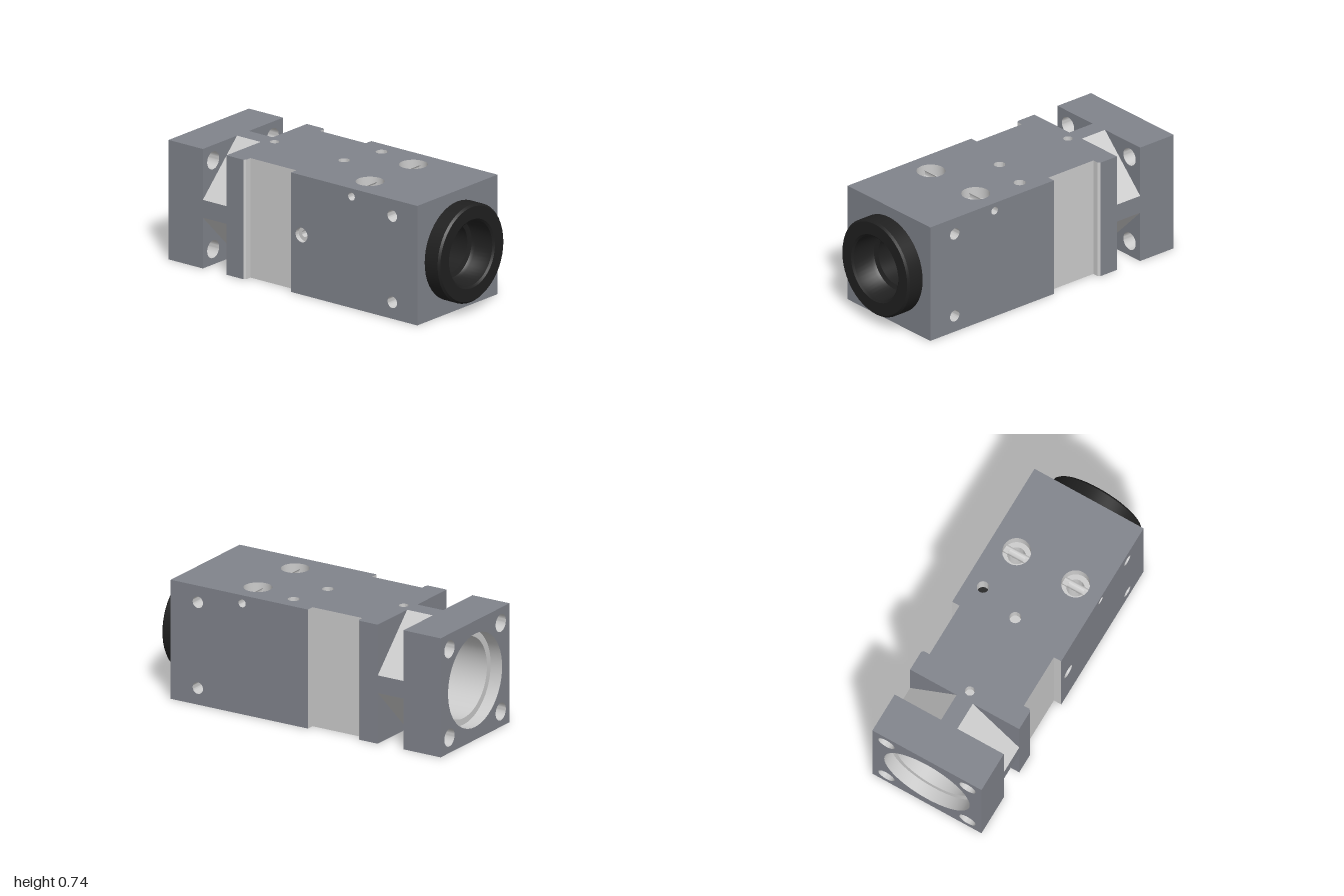
import * as THREE from 'three';
import { toCreasedNormals } from 'three/addons/utils/BufferGeometryUtils.js';

const body = new THREE.MeshStandardMaterial({ color: 0x80838b });
const bare = new THREE.MeshStandardMaterial({ color: 0xcccccc });
const black = new THREE.MeshStandardMaterial({ color: 0x202020 });

const H = 0.37;        // half of the square section
const F = 0.055;       // half width of the neck's flats
const X = { left: -1, neckA: -0.74, neckB: -0.56, slotA: -0.42, slotB: -0.07, right: 0.89 };
const SLOT = 0.32;     // half depth between the side slots

export function createModel() {
  const model = new THREE.Group();
  model.name = 'squareHousing';
  const core = new THREE.Group();
  core.name = 'housing';
  core.position.y = H;
  model.add(core);

  function add(parent, name, geometry, material) {
    const mesh = new THREE.Mesh(geometry, material);
    mesh.name = name;
    parent.add(mesh);
    return mesh;
  }

  function frame(name, rx, ry) {
    const g = new THREE.Group();
    g.name = name;
    g.rotation.set(rx, ry, 0);
    core.add(g);
    return g;
  }

  // Flat face at height d, pierced by round holes; each hole is [u, v, steps, floorMaterial]
  function panel(parent, name, points, d, holes = [], material = body) {
    const shape = new THREE.Shape(points.map(([x, y]) => new THREE.Vector2(x, y)));
    for (const [u, v, steps, floor] of holes) {
      const path = new THREE.Path();
      path.absarc(u, v, steps[0][0], 0, Math.PI * 2, true);
      shape.holes.push(path);
      if (steps[0].length > 1) hole(parent, name + 'Hole', u, v, d, steps, floor);
    }
    const mesh = add(parent, name, new THREE.ShapeGeometry(shape, 24), material);
    mesh.position.z = d;
    return mesh;
  }

  function lathe(points) {
    const g = new THREE.LatheGeometry(points.map(([r, y]) => new THREE.Vector2(r, y)), 48);
    return toCreasedNormals(g.rotateX(Math.PI / 2), 0.5);
  }

  // Stepped hole lining, steps are [radius, depth]; a floor material makes it blind
  function hole(parent, name, u, v, d, steps, floor) {
    const points = [];
    let y = 0;
    for (const [r, depth] of steps) {
      points.push([r, y], [r, -depth]);
      y = -depth;
    }
    add(parent, name, lathe(points), bare).position.set(u, v, d);
    if (floor) {
      const disc = new THREE.CircleGeometry(steps[steps.length - 1][0], 48);
      add(parent, name + 'Floor', disc, floor).position.set(u, v, d + y);
    }
  }

  const rect = (x0, x1, h) => [[x0, -h], [x1, -h], [x1, h], [x0, h]];

  // Full-height strip between two points of the side profile
  function strip(parent, name, [x0, d0], [x1, d1], material) {
    const g = new THREE.PlaneGeometry(Math.hypot(x1 - x0, d1 - d0), 2 * H);
    const m = add(parent, name, g, material);
    m.rotation.y = Math.atan2(d0 - d1, x1 - x0);
    m.position.set((x0 + x1) / 2, 0, (d0 + d1) / 2);
  }

  const sides = ['front', 'top', 'back', 'bottom'].map((n, k) => frame(n + 'Side', -k * Math.PI / 2, 0));
  const [front, top, back, bottom] = sides;

  // Flange sides, neck flats and the four sloping corner cuts
  const midX = (X.neckA + X.neckB) / 2;
  const corner = [[F, H], [H, H], [H, F]];
  const bolt = [[0.055, X.neckA - X.left]];
  for (const s of sides) {
    panel(s, 'flangeSide', rect(X.left, X.neckA, H), H);
    panel(s, 'neckFlat', rect(X.neckA, X.neckB, F), H);
    const slope = add(s, 'neckSlope', new THREE.PlaneGeometry(X.neckB - X.neckA, (H - F) * Math.SQRT2), bare);
    slope.rotation.x = -Math.PI / 4;
    slope.position.set(midX, (H + F) / 2, (H + F) / 2);
    const a = panel(s, 'flangeInnerFace', corner, 0, [[0.275, 0.275, [[0.055]]]]);
    a.rotation.y = Math.PI / 2;
    a.position.x = X.neckA;
    const b = panel(s, 'bodyShoulder', corner, 0);
    b.rotation.y = -Math.PI / 2;
    b.position.x = X.neckB;
  }

  // Front and back: short land, shallow bare slot, long side face
  const profile = [[X.neckB, H], [X.slotA - 0.012, H], [X.slotA, H - 0.012], [X.slotA, SLOT], [X.slotB, SLOT], [X.slotB, H]];
  for (const s of [front, back]) {
    for (let i = 0; i < profile.length - 1; i++) {
      strip(s, i ? 'sideSlot' : 'sideLand', profile[i], profile[i + 1], i ? bare : body);
    }
    const f = s === front ? 1 : -1;
    const holes = [
      [0.70, 0.267, [[0.036, 0.1]], black],
      [0.70, -0.267, [[0.036, 0.1]], black],
      [0.39, 0.32 * f, [[0.025, H]]],
    ];
    if (f > 0) holes.push([0.01, 0, [[0.045, 0.03], [0.021, 0.09]], black]);
    panel(s, 'sideFace', rect(X.slotB, X.right, H), H, holes);
  }

  // Top and bottom: one outline notched by the side slots
  const upper = profile.concat([[X.right, H]]);
  const outline = upper.concat(upper.map(([x, d]) => [x, -d]).reverse());
  panel(top, 'topFace', outline, H, [
    [-0.5, 0, [[0.029, 0.05]], bare],
    [0.03, 0, [[0.035, 0.06]], bare],
    [0.10, 0.26, [[0.036, 0.1]], black],
    [0.39, 0.2, [[0.085, 0.07], [0.053, 2 * H]]],
    [0.39, -0.2, [[0.085, 0.07], [0.053, 2 * H]]],
  ]);
  panel(bottom, 'bottomFace', outline, -0 + H, [
    [0.39, 0.2, [[0.053]]],
    [0.39, -0.2, [[0.053]]],
    [0.09, -0.26, [[0.025, 0.1]], black],
  ]);

  // Left end: flange face with stepped main bore and four bolt holes
  const left = frame('leftEnd', 0, -Math.PI / 2);
  const bolts = [[1, 1], [-1, 1], [-1, -1], [1, -1]].map(([a, b]) => [0.275 * a, 0.275 * b, bolt]);
  panel(left, 'flangeFace', rect(-H, H, H), -X.left, [
    [0, 0, [[0.29, 0.08], [0.25, 1.2], [0.15, 1.6]]],
    ...bolts,
  ]);

  // Right end: plain face carrying the black collar and its liner
  const right = frame('rightEnd', 0, Math.PI / 2);
  panel(right, 'endFace', rect(-H, H, H), X.right, [[0, 0, [[0.25]]]]);
  add(right, 'collar', lathe([
    [0.302, 0], [0.302, 0.098], [0.29, 0.11], [0.212, 0.11], [0.2, 0.1],
    [0.19, -0.02], [0.18, -0.04], [0.152, -0.05], [0.152, -0.29],
  ]), black).position.z = X.right;

  return model;
}
